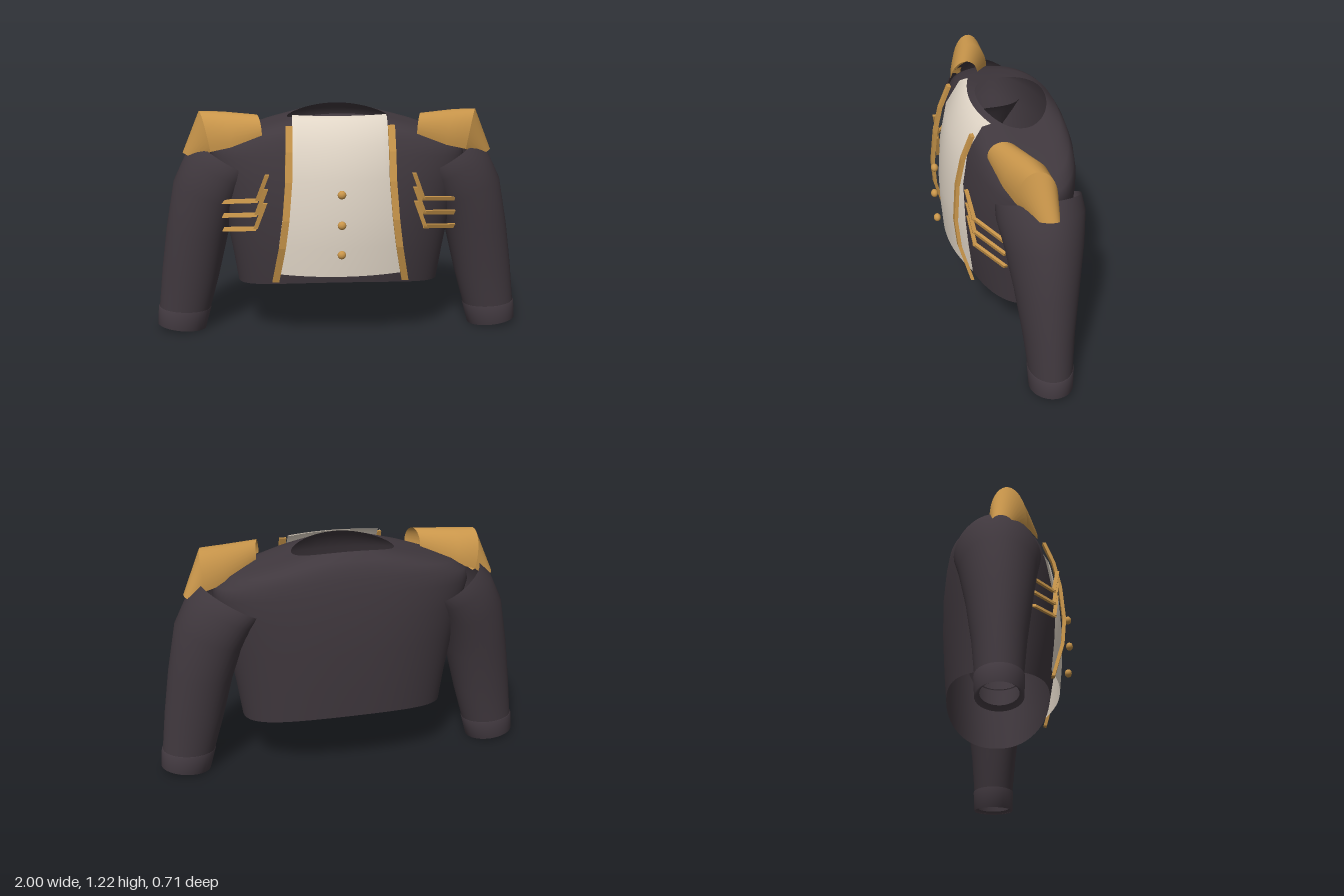
import * as THREE from 'three';

const mat = (name, color) => {
  const m = new THREE.MeshStandardMaterial({ color, side: THREE.DoubleSide });
  m.name = name;
  return m;
};

// Skin a list of equal-length rings of [x, y, z] points.
function loft(rings, closed = true, flat = false) {
  const n = rings[0].length, index = [];
  for (let r = 0; r < rings.length - 1; r++) {
    for (let i = 0; i < (closed ? n : n - 1); i++) {
      const a = r * n + i, b = r * n + (i + 1) % n;
      index.push(a, b, a + n, b, b + n, a + n);
    }
  }
  let g = new THREE.BufferGeometry();
  g.setAttribute('position', new THREE.Float32BufferAttribute(rings.flat(2), 3));
  g.setIndex(index);
  if (flat) g = g.toNonIndexed();
  g.computeVertexNormals();
  return g;
}

const ringOf = (n, fn) => Array.from({ length: n }, (_, i) => fn((i / n) * Math.PI * 2));
const soft = (v, e) => Math.sign(v) * Math.abs(v) ** e;

// Square bar swept along a path, with half sizes in x/y and z.
function bar(path, half, depth, upright) {
  const rings = path.map(([x, y, z]) =>
    [[-1, -1], [1, -1], [1, 1], [-1, 1]].map(([u, v]) =>
      upright ? [x + u * half, y, z + v * depth] : [x + u * half * 0.5, y + u * half, z + v * depth]));
  const collapse = (p) => Array(4).fill(p);
  return loft([collapse(path[0]), ...rings, collapse(path[path.length - 1])], true, true);
}

export function createModel() {
  const group = new THREE.Group();
  const cloth = mat('dark cloth', 0x40383e);
  const cuffCloth = mat('cuff cloth', 0x463d44);
  const gold = mat('gold', 0xc8954a);
  const cream = mat('cream', 0xe2d7c8);
  const add = (name, geometry, material) => {
    const mesh = new THREE.Mesh(geometry, material);
    mesh.name = name;
    group.add(mesh);
    return mesh;
  };

  // Torso: front/back height, side height, half width, front z, back z, squareness
  const torso = [
    [0.34, 0.29, 0.545, 0.222, -0.325, 0.87],
    [0.5, 0.47, 0.572, 0.248, -0.338, 0.87],
    [0.7, 0.68, 0.61, 0.262, -0.35, 0.87],
    [0.88, 0.86, 0.65, 0.25, -0.353, 0.87],
    [1.02, 0.98, 0.68, 0.222, -0.342, 0.87],
    [1.1, 1.04, 0.665, 0.2, -0.33, 0.87],
    [1.15, 1.085, 0.59, 0.178, -0.315, 0.88],
    [1.185, 1.135, 0.45, 0.15, -0.295, 0.92],
    [1.222, 1.18, 0.27, 0.1, -0.25, 1],
  ];
  add('torso', loft(torso.map(([y, ySide, rx, zf, zb, e]) => ringOf(64, (a) => {
    const c = Math.cos(a), s = Math.sin(a), mid = (zf + zb) / 2;
    return [rx * soft(c, e), ySide + (y - ySide) * s * s, mid + ((zf - zb) / 2) * soft(s, e)];
  }))), cloth);

  // Front panel: height, half width, centre z, edge z
  const panel = [
    [1.215, 0.245, 0.135, 0.09],
    [1.205, 0.245, 0.175, 0.135],
    [1.08, 0.25, 0.25, 0.21],
    [0.9, 0.265, 0.285, 0.24],
    [0.7, 0.302, 0.297, 0.24],
    [0.55, 0.322, 0.292, 0.23],
    [0.39, 0.335, 0.278, 0.213],
  ];
  add('frontPanel', loft(panel.map(([y, w, zc, ze]) =>
    Array.from({ length: 17 }, (_, i) => {
      const t = i / 8 - 1;
      return [t * w, y, zc - (zc - ze) * t * t];
    })), false), cream);

  // Buttons
  for (const [y, z] of [[0.845, 0.333], [0.685, 0.338], [0.525, 0.328]]) {
    const button = add('button', new THREE.SphereGeometry(0.022, 20, 14), gold);
    button.position.set(0, y, z);
    button.scale.z = 0.85;
  }

  // Sleeve sections: inner x, y, outer x, y, front z, back z, lean of the widest point inward
  const sleeve = [
    [0.74, 0.005, 0.995, 0.035, 0.047, -0.168, 1],
    [0.705, 0.12, 0.985, 0.14, 0.052, -0.174, 1],
    [0.655, 0.3, 0.962, 0.35, 0.07, -0.19, 1.1],
    [0.598, 0.54, 0.93, 0.58, 0.1, -0.222, 1.2],
    [0.545, 0.72, 0.882, 0.84, 0.13, -0.26, 1.4],
    [0.49, 0.84, 0.81, 0.99, 0.152, -0.287, 1.6],
    [0.45, 0.895, 0.745, 1.055, 0.145, -0.285, 1.75],
  ];
  const cuff = [
    [0.76, 0.02, 0.975, 0.045, 0.03, -0.15, 1],
    [0.735, 0, 1, 0.033, 0.052, -0.173, 1],
    [0.703, 0.115, 0.992, 0.13, 0.056, -0.178, 1],
    [0.715, 0.117, 0.98, 0.132, 0.045, -0.168, 1],
  ];
  const tube = (sections, s) => loft(sections.map(([xi, yi, xo, yo, zf, zb, lean]) => ringOf(40, (a) => {
    const t = ((1 + Math.cos(a)) / 2) ** lean;
    return [s * (xi + (xo - xi) * t), yi + (yo - yi) * t, (zf + zb) / 2 + ((zf - zb) / 2) * Math.sin(a)];
  })));

  // Epaulette arches: crown point, half width, drop vector
  const arches = [
    [[0.425, 1.215, 0.07], 0.078, [-0.005, -0.095]],
    [[0.61, 1.222, 0.005], 0.11, [-0.02, -0.17]],
    [[0.73, 1.222, -0.015], 0.095, [-0.035, -0.2]],
    [[0.825, 0.995, -0.045], 0.058, [-0.06, -0.025]],
  ];
  const arch = ([[x, y, z], w, [dx, dy]], s) => Array.from({ length: 21 }, (_, i) => {
    const a = (i / 10 - 1) * 1.7, d = (1 - Math.cos(a)) / 1.13, o = w * Math.sin(a);
    return [s * (x + dx * d - 0.25 * o), y + dy * d, z + o];
  });

  for (const [side, s] of [['left', 1], ['right', -1]]) {
    add(side + 'Sleeve', tube(sleeve, s), cloth);
    add(side + 'Cuff', tube(cuff, s), cuffCloth);
    add(side + 'EpauletteStrap', loft(arches.slice(0, 3).map((a) => arch(a, s)), false), gold);
    add(side + 'EpauletteEnd', loft(arches.slice(2).map((a) => arch(a, s)), false), gold);

    // Gold edging beside the panel
    const edge = [[0.262, 1.175, 0.19], [0.265, 1.05, 0.24], [0.268, 0.9, 0.272],
      [0.285, 0.7, 0.288], [0.305, 0.55, 0.275], [0.342, 0.35, 0.22]];
    add(side + 'PanelTrim', bar(edge.map(([x, y, z]) => [s * x, y, z]), 0.018, 0.009, true), gold);

    // Three stacked chest chevrons, each a short upright arm and a long side arm
    for (let k = 0; k < 3; k++) {
      const y = 0.795 - k * 0.075, x = k * 0.006;
      add(side + 'ChestChevronArm', bar([[s * (0.378 + x), y + 0.14, 0.25 - k * 0.003],
        [s * (0.43 + x), y, 0.225]], 0.011, 0.01, true), gold);
      add(side + 'ChestChevronBar', bar([[s * (0.425 + x), y, 0.227],
        [s * 0.615, y - 0.033, 0.112]], 0.01, 0.01, false), gold);
    }
  }
  return group;
}
